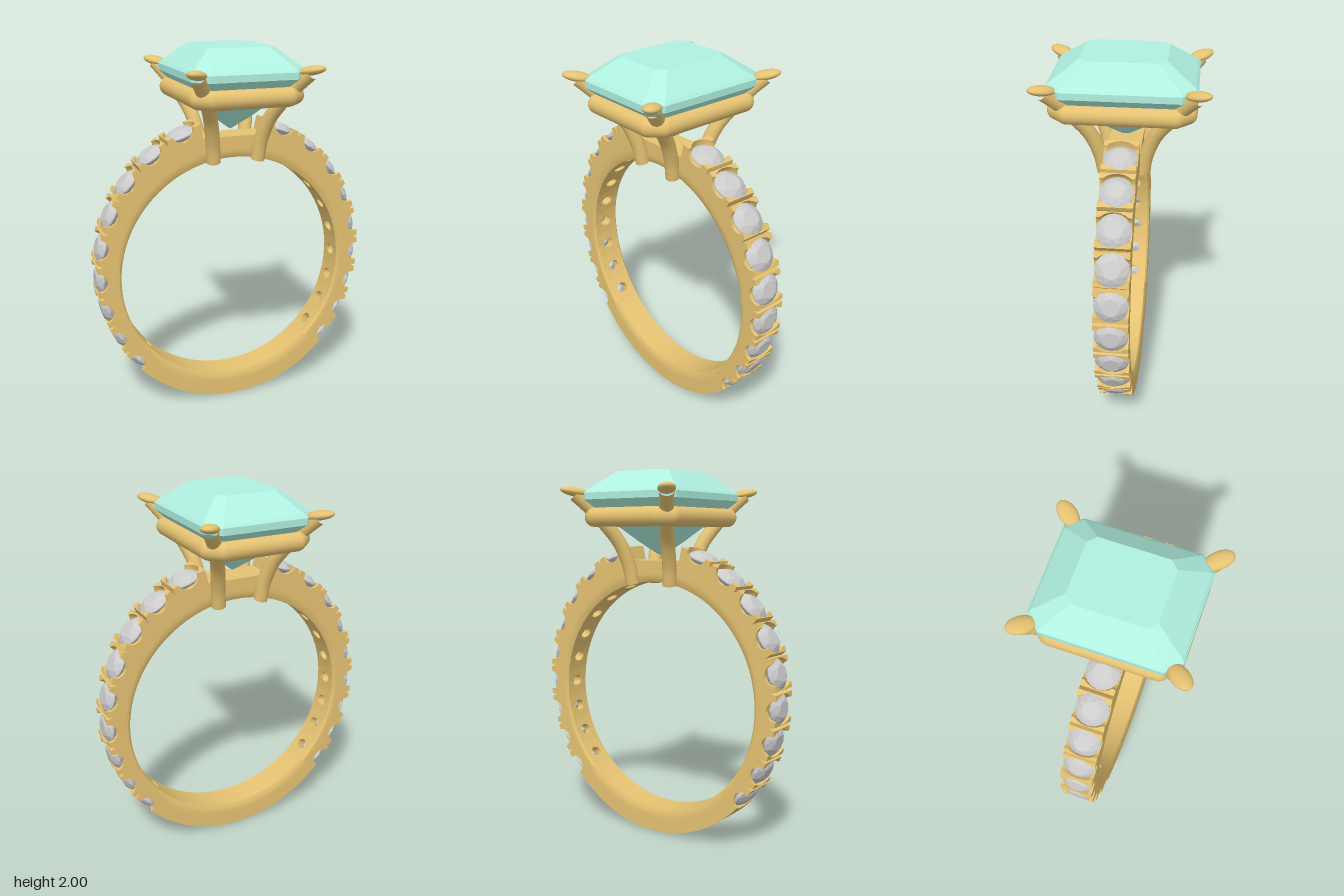
import * as THREE from 'three';
import { mergeGeometries, toCreasedNormals } from 'three/addons/utils/BufferGeometryUtils.js';
import { ConvexGeometry } from 'three/addons/geometries/ConvexGeometry.js';

const CY = 0.775, INNER = 0.64, HALF = 0.088, K = 0.77, PITCH = 13.75;
const rad = THREE.MathUtils.degToRad;

// Outer radius of the shank: an ellipse slightly taller towards the head
function outer(a) {
  const c = Math.cos(a), s = Math.sin(a), A = 0.768, B = 0.815, o = 0.04;
  const qa = (c / A) ** 2 + (s / B) ** 2, qb = -2 * s * o / B ** 2, qc = (o / B) ** 2 - 1;
  return (-qb + Math.sqrt(qb * qb - 4 * qa * qc)) / (2 * qa);
}

// Extrude a flat plan and wrap it round the finger axis; rule gives [arc, z, radius]
function wrap(shape, steps, centre, rule) {
  const g = new THREE.ExtrudeGeometry(shape, { depth: 1, steps, bevelEnabled: false, curveSegments: 8 });
  const p = g.attributes.position;
  for (let i = 0; i < p.count; i++) {
    const [arc, z, r] = rule(p.getX(i), p.getY(i), p.getZ(i));
    const a = centre + arc / K;
    p.setXYZ(i, r(a) * Math.cos(a), CY + r(a) * Math.sin(a), z);
  }
  return g;
}

// One segment of the shank between two angles, optionally pierced
function cell(from, to, top, hole, n) {
  const h = rad(to - from) / 2 * K, pts = [];
  for (let i = 0; i <= n; i++) pts.push(new THREE.Vector2(-h + 2 * h * i / n, -HALF));
  for (let i = n; i >= 0; i--) pts.push(new THREE.Vector2(-h + 2 * h * i / n, HALF));
  const shape = new THREE.Shape(pts);
  if (hole) shape.holes.push(new THREE.Path().absarc(0, 0, hole, 0, Math.PI * 2, true));
  return wrap(shape, 6, rad((from + to) / 2), (x, y, t) => {
    // eased inner edges
    const ease = 0.012 * Math.max(0, 1 - t * 0.08 / 0.022) ** 2;
    const z = Math.abs(y) > 0.08 ? Math.sign(y) * (HALF - ease) : y;
    return [x, z, a => INNER + t * (top(a) - INNER)];
  });
}

// Half of a shared prong bridge between two stones, with scooped sides
function post(angle, side, split) {
  const half = [[1, 0.07], [0.6, 0.055], [0.25, 0.03], [0.12, 0]];
  const pts = [[0, -HALF], [1, -HALF], ...half.map(([u, z]) => [u, -z]),
    ...half.slice(0, 3).reverse(), [1, HALF], [0, HALF]];
  const shape = new THREE.Shape(pts.map(([u, z]) => new THREE.Vector2(side * u, z)));
  return wrap(shape, 6, rad(angle), (x, y, t) => {
    const d = (1 - t) * 0.058;
    const edge = rad(PITCH / 2) * K - Math.sqrt(Math.max(0, 0.055 ** 2 - d * d));
    const slit = split ? 0.009 * Math.max(0, 1 - d / 0.03) : 0;
    return [side * THREE.MathUtils.lerp(slit, edge, Math.abs(x)), y, a => outer(a) - d];
  });
}

// Round brilliant, pointing along +y
function brilliant() {
  const pts = [new THREE.Vector3(0, -0.07, 0)];
  const ring = (n, r, y, turn) => {
    for (let i = 0; i < n; i++) {
      const a = (i + turn) / n * Math.PI * 2;
      pts.push(new THREE.Vector3(r * Math.cos(a), y, r * Math.sin(a)));
    }
  };
  ring(8, 0.046, 0.031, 0);
  ring(8, 0.068, 0.019, 0.5);
  ring(16, 0.087, 0.002, 0);
  ring(16, 0.087, -0.004, 0);
  ring(8, 0.05, -0.036, 0.5);
  return new ConvexGeometry(pts);
}

// Rectangle with cut corners
function octagon(hx, hz, cut, y) {
  return [[hx, hz - cut], [hx - cut, hz], [cut - hx, hz], [-hx, hz - cut],
    [-hx, cut - hz], [cut - hx, -hz], [hx - cut, -hz], [hx, cut - hz]]
    .map(([x, z]) => new THREE.Vector3(x, y, z));
}

export function createModel() {
  const model = new THREE.Group();
  const gold = new THREE.MeshStandardMaterial({ color: 0xe5c272 });
  const teal = new THREE.MeshStandardMaterial({ color: 0xb0f0e0, flatShading: true });
  const grey = new THREE.MeshStandardMaterial({ color: 0xcccccc, flatShading: true });
  const add = (parent, name, geo, mat) => {
    const m = new THREE.Mesh(geo, mat);
    m.name = name;
    parent.add(m);
    return m;
  };
  const group = name => {
    const g = new THREE.Group();
    g.name = name;
    model.add(g);
    return g;
  };

  // Shank: pierced seats, plain lower arc and flat deck below the head
  const shank = [], posts = [], stones = group('bandStones'), stoneGeo = brilliant();
  const seat = a => outer(a) - 0.055, deck = a => 0.755 / Math.sin(a);
  for (const mirror of [false, true]) {
    const at = a => mirror ? 180 - a : a;
    const inward = mirror ? -1 : 1;
    for (let i = 0; i < 9; i++) {
      const a = at(70 - PITCH * i);
      shank.push(cell(a - PITCH / 2, a + PITCH / 2, seat, 0.036, 6));
      const s = add(stones, 'bandStone', stoneGeo, grey);
      const r = outer(rad(a)) - 0.03;
      s.position.set(r * Math.cos(rad(a)), CY + r * Math.sin(rad(a)), 0);
      s.rotation.z = rad(a - 90);
    }
    for (let i = 0; i <= 9; i++) {
      const a = at(70 + PITCH / 2 - PITCH * i), split = i > 0 && i < 9;
      if (i < 9) posts.push(post(a, -inward, split));
      if (i > 0) posts.push(post(a, inward, split));
    }
  }
  const low = 70 - PITCH * 8.5, plain = (180 + 2 * low) / 32;
  for (let i = 0; i < 32; i++) {
    const a = -180 - low + plain * i;
    shank.push(cell(a, a + plain, outer, 0, 1));
  }
  const high = 70 + PITCH / 2, flat = (180 - 2 * high) / 10;
  for (let i = 0; i < 10; i++) shank.push(cell(high + flat * i, high + flat * (i + 1), deck, 0, 1));
  add(model, 'band', toCreasedNormals(mergeGeometries(shank), 0.5), gold);
  add(model, 'bandProngs', toCreasedNormals(mergeGeometries(posts), 0.5), gold);

  // Emerald-cut centre stone
  const levels = [[2, 0.175, 0.215, 0.04], [1.9, 0.292, 0.358, 0.07], [1.885, 0.305, 0.372, 0.075],
    [1.85, 0.305, 0.372, 0.075], [1.815, 0.25, 0.315, 0.065], [1.69, 0.13, 0.175, 0.04],
    [1.63, 0.09, 0.115, 0.03], [1.56, 0.004, 0.02, 0.002]];
  add(model, 'centreStone', new ConvexGeometry(levels.flatMap(([y, x, z, c]) => octagon(x, z, c, y))), teal);

  // Basket rail below the girdle
  const rail = group('basketRail'), corners = octagon(0.257, 0.32, 0.055, 1.76);
  corners.forEach((p, i) => {
    const q = corners[(i + 1) % 8], d = q.clone().sub(p);
    const bar = add(rail, 'railBar', new THREE.CylinderGeometry(0.05, 0.05, d.length(), 24, 1, true), gold);
    bar.position.copy(p).lerp(q, 0.5);
    bar.quaternion.setFromUnitVectors(new THREE.Vector3(0, 1, 0), d.normalize());
    add(rail, 'railJoint', new THREE.SphereGeometry(0.05, 24, 16), gold).position.copy(p);
  });

  // Four curved claws with flattened tips
  const claws = group('claws');
  for (const sx of [1, -1]) for (const sz of [1, -1]) {
    const path = new THREE.CatmullRomCurve3([[0.125, 1.4, 0.1], [0.135, 1.5, 0.118], [0.16, 1.62, 0.165],
      [0.2, 1.72, 0.235], [0.25, 1.81, 0.305], [0.298, 1.88, 0.37]]
      .map(([x, y, z]) => new THREE.Vector3(x * sx, y, z * sz)));
    add(claws, 'claw', new THREE.TubeGeometry(path, 32, 0.038, 16), gold);
    const foot = add(claws, 'clawFoot', new THREE.CircleGeometry(0.038, 16), gold);
    foot.position.copy(path.getPoint(0));
    foot.lookAt(path.getPoint(0).sub(path.getTangent(0)));
    const tip = add(claws, 'clawTip', new THREE.SphereGeometry(1, 24, 16), gold);
    tip.scale.set(0.046, 0.024, 0.076);
    tip.position.set(0.3 * sx, 1.892, 0.372 * sz);
    tip.lookAt(0.345 * sx, 1.905, 0.43 * sz);
  }
  return model;
}
